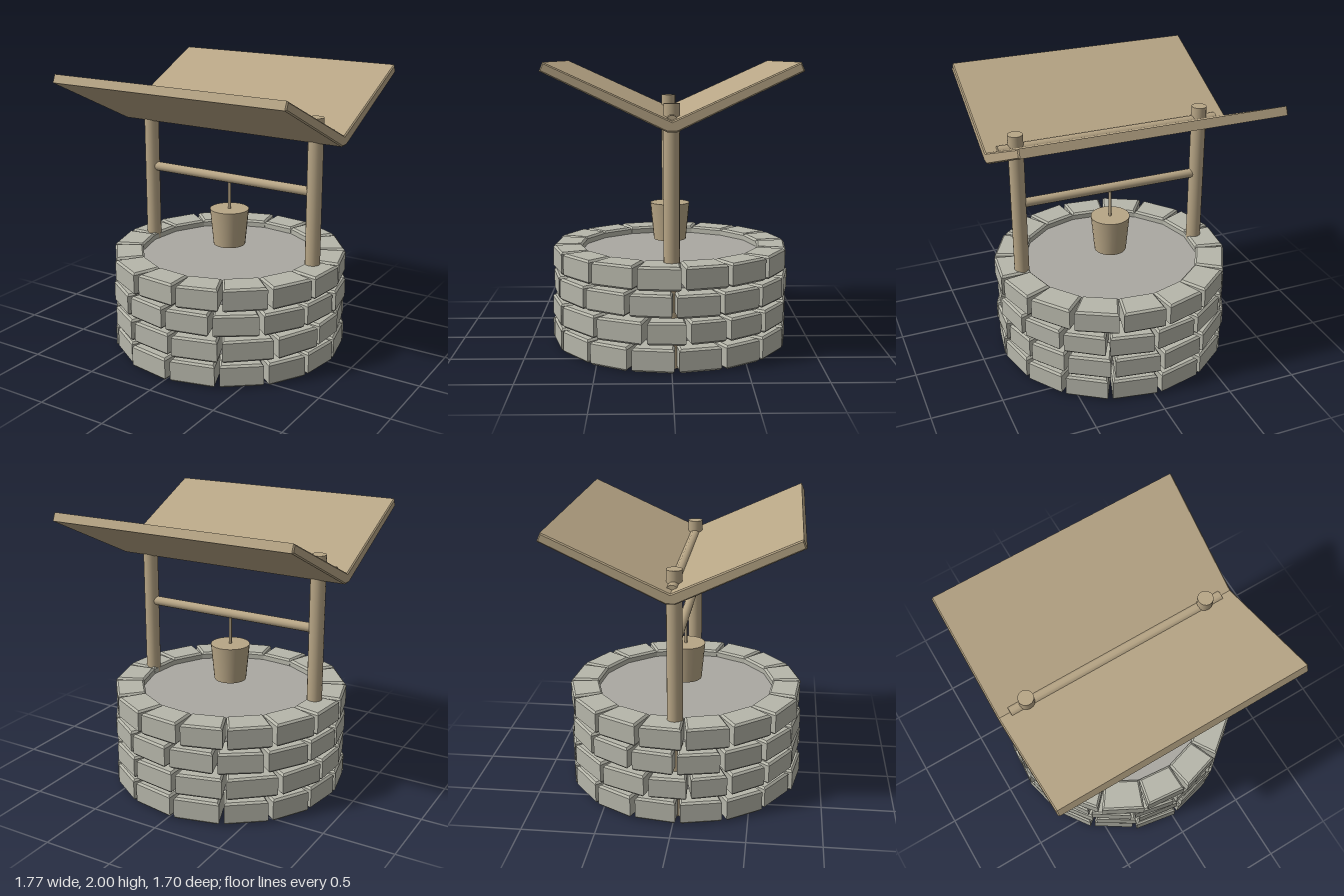
import * as THREE from 'three';

const wood = new THREE.MeshStandardMaterial({ color: 0xb8a686 });
wood.name = 'wood';
const stone = new THREE.MeshStandardMaterial({ color: 0xb6b6aa });
stone.name = 'stone';
const mortar = new THREE.MeshStandardMaterial({ color: 0xaaa8a2 });
mortar.name = 'mortar';

function part(parent, name, geometry, material, x = 0, y = 0, z = 0) {
  const mesh = new THREE.Mesh(geometry, material);
  mesh.name = name;
  mesh.position.set(x, y, z);
  parent.add(mesh);
  return mesh;
}

// Extrusion with chamfered edges that stays inside its outline and depth
function chamferedExtrude(points, depth, chamfer) {
  const shape = new THREE.Shape(points.map(([x, y]) => new THREE.Vector2(x, y)));
  return new THREE.ExtrudeGeometry(shape, {
    depth: depth - 2 * chamfer,
    bevelEnabled: true,
    bevelSegments: 1,
    bevelSize: chamfer,
    bevelThickness: chamfer,
    bevelOffset: -chamfer,
  }).translate(0, 0, chamfer);
}

// Small repeatable random function, -1 to 1
let seed = 7;
function jitter() {
  seed = (seed * 16807) % 2147483647;
  return (seed / 2147483647) * 2 - 1;
}

// Wedge-shaped block lying at the front of the ring, outer face towards +z
function stoneGeometry(halfAngle, outer, height) {
  const inner = 0.62;
  const wOut = outer * Math.tan(halfAngle) - 0.017;
  const wIn = inner * Math.tan(halfAngle);
  const outline = [[-wOut, -outer], [wOut, -outer], [wIn, -inner], [-wIn, -inner]];
  return chamferedExtrude(outline, height, 0.014).rotateX(-Math.PI / 2);
}

export function createModel() {
  const model = new THREE.Group();
  model.name = 'well';

  // Round stone wall: four courses, block centres in degrees for half a turn
  const courses = [
    { y: 0.005, height: 0.16, angles: [-33.5, -10, 14.3, 38, 60, 81.2, 103.3, 125] },
    { y: 0.19, height: 0.155, angles: [-32.6, -8.3, 15, 40, 67, 88.6, 106.3, 127] },
    { y: 0.37, height: 0.155, angles: [-34.6, -11, 11.2, 35.3, 58, 81.3, 101, 125] },
    { y: 0.55, height: 0.16, angles: [-27.7, -5.3, 17, 38.6, 62.4, 84.6, 105.8, 128.7] },
  ];
  courses.forEach(({ y, height, angles }, row) => {
    const course = new THREE.Group();
    course.name = `stoneCourse${row + 1}`;
    const all = [...angles, ...angles.map((a) => a + 180)];
    const n = all.length;
    all.forEach((angle, i) => {
      const before = i > 0 ? all[i - 1] : all[n - 1] - 360;
      const after = i < n - 1 ? all[i + 1] : all[0] + 360;
      const start = (before + angle) / 2;
      const end = (angle + after) / 2;
      const half = THREE.MathUtils.degToRad((end - start) / 2);
      const outer = 0.827 + 0.008 * jitter();
      const block = part(course, 'stoneBlock', stoneGeometry(half, outer, height), stone, 0, y, 0);
      block.rotation.y = THREE.MathUtils.degToRad((start + end) / 2);
    });
    model.add(course);
  });

  // Solid core behind the blocks
  part(model, 'core', new THREE.CylinderGeometry(0.635, 0.635, 0.645, 40), mortar, 0, 0.3375, 0);

  // Posts
  for (const side of [-1, 1]) {
    const name = side > 0 ? 'leftPost' : 'rightPost';
    part(model, name, new THREE.CylinderGeometry(0.053, 0.053, 1.74, 16), wood, side * 0.675, 0.87, 0);
  }

  // Horizontal bars
  const crossbar = part(model, 'crossbar', new THREE.CylinderGeometry(0.033, 0.033, 1.3, 14), wood, 0, 1.225, 0);
  crossbar.rotation.z = Math.PI / 2;
  const beam = part(model, 'roofBeam', new THREE.CylinderGeometry(0.038, 0.038, 1.6, 10), wood, 0, 1.635, 0);
  beam.rotation.z = Math.PI / 2;

  // V-shaped roof
  const section = [
    [0, 1.64], [-0.79, 2], [-0.813, 1.945], [-0.03, 1.572],
    [0.03, 1.572], [0.813, 1.945], [0.79, 2],
  ];
  const roof = chamferedExtrude(section, 1.77, 0.008).translate(0, 0, -0.885).rotateY(Math.PI / 2);
  part(model, 'roof', roof, wood);

  // Bucket on its rope
  part(model, 'bucket', new THREE.CylinderGeometry(0.14, 0.115, 0.265, 24), wood, 0, 0.8675, 0);
  part(model, 'rope', new THREE.CylinderGeometry(0.011, 0.011, 0.24, 8), wood, 0, 1.1, 0);

  return model;
}
